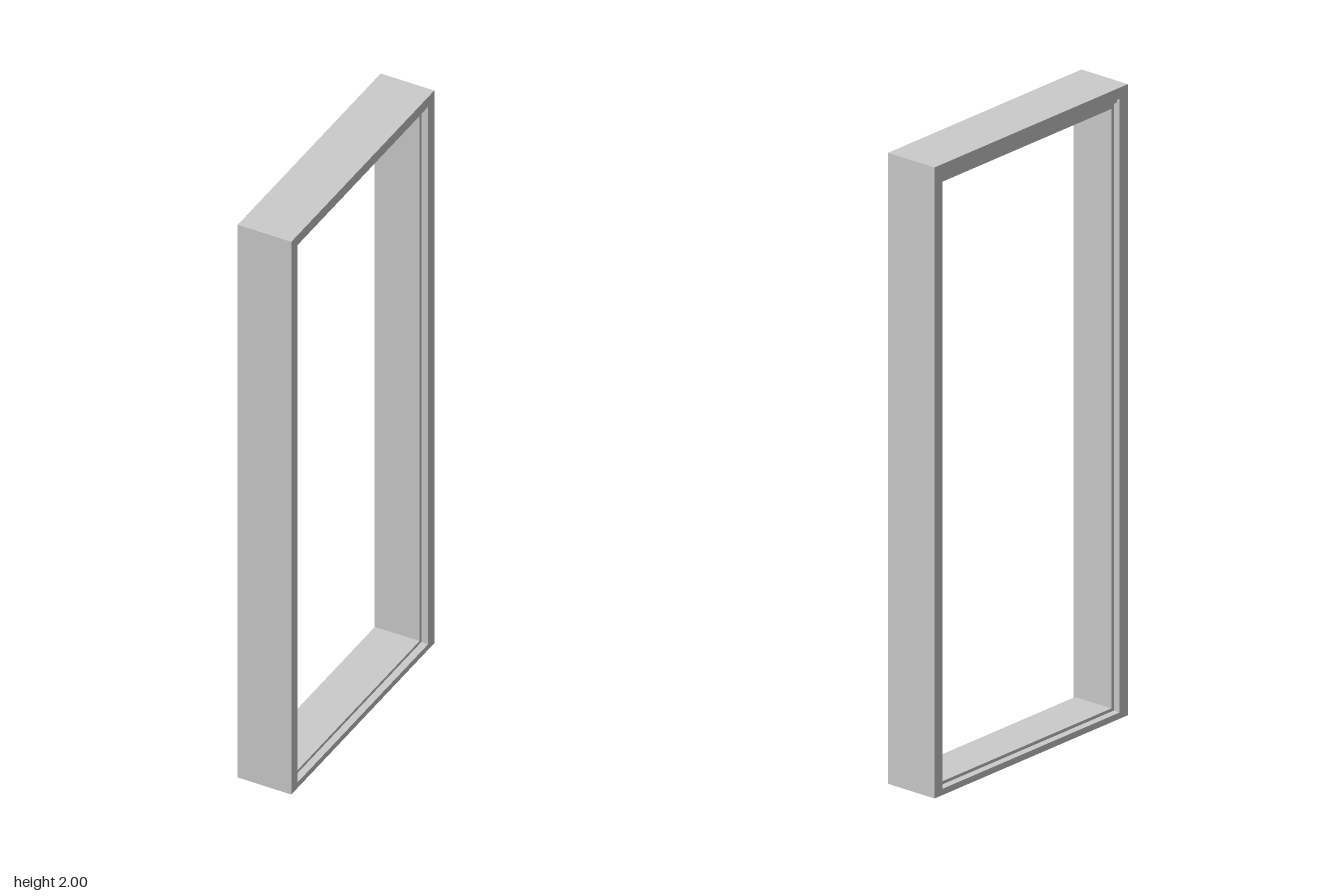
import * as THREE from 'three';

const HEIGHT = 2, HALF_WIDTH = 0.4375, HALF_DEPTH = 0.09;

// Half of the closed cross-section, from the outer edge inwards:
// x position, then inset from the jamb, head and sill outer faces
const halfProfile = [
  [HALF_DEPTH, 0, 0, 0],
  [HALF_DEPTH, 0.037, 0.035, 0.02],
  [0.079, 0.037, 0.035, 0.02],
  [0.079, 0.037, 0.05, 0.02],
  [0.067, 0.037, 0.05, 0.02],
  [0.067, 0.048, 0.07, 0.03],
];
const mirrored = halfProfile.map(([x, ...inset]) => [-x, ...inset]).reverse();
const profile = [...halfProfile, ...mirrored];

// Place a profile point at one of the four mitred corners
function cornerPoint([x, jamb, head, sill], corner) {
  const atTop = corner >= 2;
  const zSide = corner === 1 || corner === 2 ? 1 : -1;
  return [x, atTop ? HEIGHT - head : sill, zSide * (HALF_WIDTH - jamb)];
}

// One mitred frame member running from a corner to the next
function memberGeometry(corner) {
  const next = (corner + 1) % 4;
  const positions = [];
  profile.forEach((p, i) => {
    const q = profile[(i + 1) % profile.length];
    const a = cornerPoint(p, corner), b = cornerPoint(q, corner);
    const c = cornerPoint(q, next), d = cornerPoint(p, next);
    positions.push(...a, ...c, ...b, ...a, ...d, ...c);
  });
  const geometry = new THREE.BufferGeometry();
  geometry.setAttribute('position', new THREE.Float32BufferAttribute(positions, 3));
  // The profile runs inwards on the +x side, so the winding is flipped above
  geometry.computeVertexNormals();
  return geometry;
}

export function createModel() {
  const group = new THREE.Group();
  group.name = 'doorFrame';
  const material = new THREE.MeshStandardMaterial({
    color: 0xcccccc, flatShading: true, side: THREE.DoubleSide,
  });
  // Sill, front jamb, head and back jamb, in corner order
  ['sill', 'frontJamb', 'head', 'backJamb'].forEach((name, corner) => {
    const mesh = new THREE.Mesh(memberGeometry(corner), material);
    mesh.name = name;
    group.add(mesh);
  });
  return group;
}
